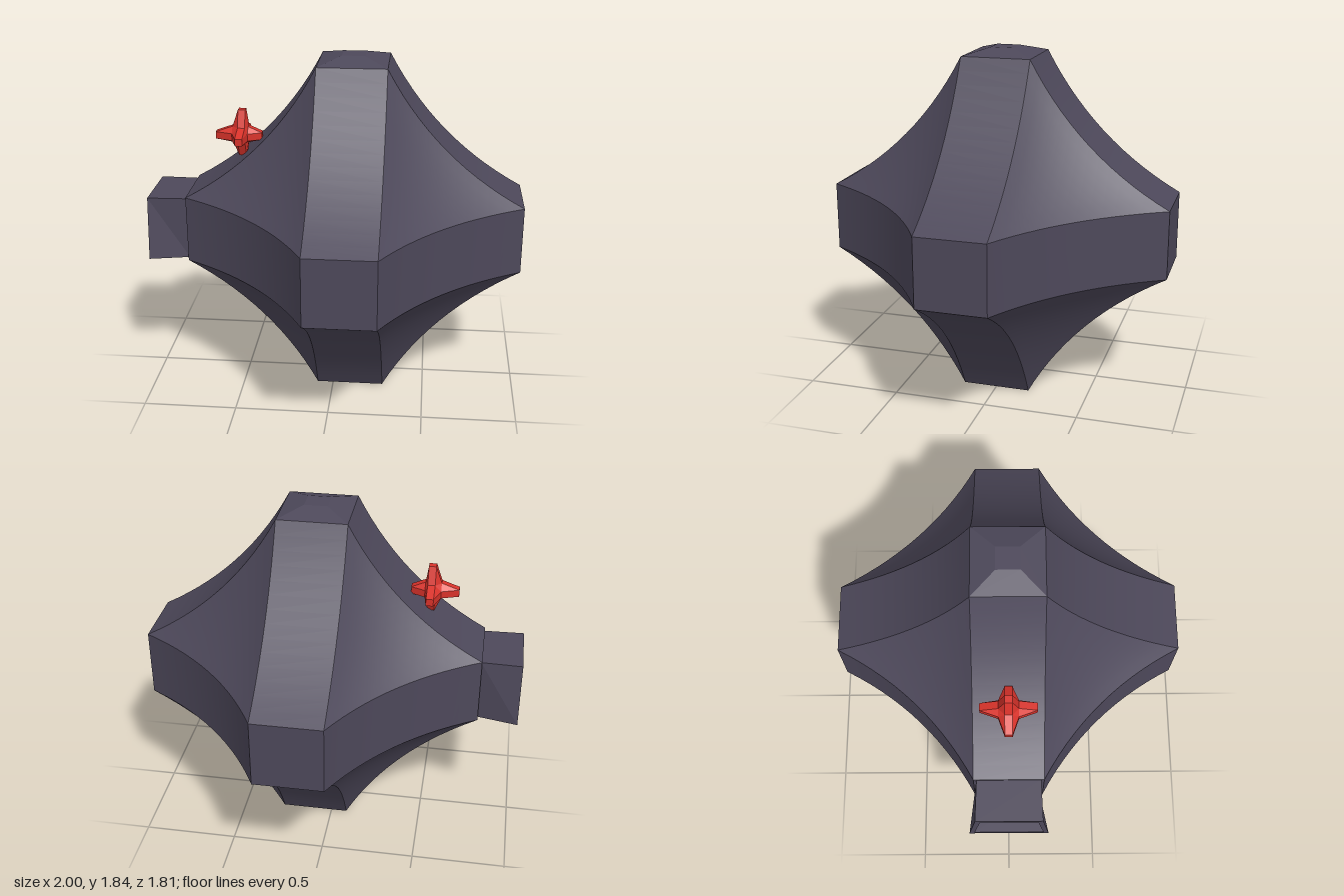
import * as THREE from 'three';
import { mergeGeometries } from 'three/addons/utils/BufferGeometryUtils.js';

const V = (x, y, z) => new THREE.Vector3(x, y, z);
const AXES = [V(1, 0, 0), V(0, 1, 0), V(0, 0, 1)];

// Geometry from points and triangles, each triangle turned to face away from the origin
function outward(points, tris) {
  const n = V(0, 0, 0), e = V(0, 0, 0), mid = V(0, 0, 0);
  const index = [];
  for (const [a, b, c] of tris) {
    const [p, q, r] = [points[a], points[b], points[c]];
    n.subVectors(q, p).cross(e.subVectors(r, p));
    mid.copy(p).add(q).add(r);
    index.push(...(n.dot(mid) >= 0 ? [a, b, c] : [a, c, b]));
  }
  const g = new THREE.BufferGeometry().setFromPoints(points);
  g.setIndex(index);
  g.computeVertexNormals();
  return g;
}

// Six square-ended arms joined by concave bands and three-sided corner panels.
// reach(axis, sign) = arm length, h = half width of arm end, sag = depth of the hollow
function hollowStar(reach, h, sag, n, material) {
  const caps = [], bands = [], panels = [];
  // Corner of an arm end: s holds the signs of the octant
  const corner = (axis, s) => {
    const p = V(s[0] * h, s[1] * h, s[2] * h);
    return p.setComponent(axis, s[axis] * reach(axis, s[axis]));
  };
  const pull = (i, j, s, amount) =>
    AXES[i].clone().multiplyScalar(s[i]).addScaledVector(AXES[j], s[j])
      .multiplyScalar(-4 * sag * amount / Math.SQRT2);

  // Square arm ends
  for (let axis = 0; axis < 3; axis++) for (const sg of [-1, 1]) {
    const pts = [[-1, -1], [1, -1], [1, 1], [-1, 1]].map(([a, b]) => {
      const s = [0, 0, 0];
      s[axis] = sg; s[(axis + 1) % 3] = a; s[(axis + 2) % 3] = b;
      return corner(axis, s);
    });
    caps.push(outward(pts, [[0, 1, 2], [0, 2, 3]]));
  }

  // Hollow bands between neighbouring arms
  for (let k = 0; k < 3; k++) for (const a of [-1, 1]) for (const b of [-1, 1]) {
    const i = (k + 1) % 3, j = (k + 2) % 3, pts = [], tris = [];
    for (let m = 0; m <= n; m++) {
      const t = m / n;
      for (const c of [-1, 1]) {
        const s = [0, 0, 0];
        s[i] = a; s[j] = b; s[k] = c;
        pts.push(corner(i, s).lerp(corner(j, s), t).add(pull(i, j, s, t * (1 - t))));
      }
      if (m < n) tris.push([2 * m, 2 * m + 1, 2 * m + 3], [2 * m, 2 * m + 3, 2 * m + 2]);
    }
    bands.push(outward(pts, tris));
  }

  // Three-sided panels, one per octant
  for (const a of [-1, 1]) for (const b of [-1, 1]) for (const c of [-1, 1]) {
    const s = [a, b, c], pts = [], tris = [];
    const id = (r, q) => r * (r + 1) / 2 + q;
    for (let r = 0; r <= n; r++) for (let q = 0; q <= r; q++) {
      const w = [1 - r / n, (r - q) / n, q / n];
      const p = V(0, 0, 0);
      for (let i = 0; i < 3; i++) {
        const j = (i + 1) % 3;
        p.addScaledVector(corner(i, s), w[i]).add(pull(i, j, s, w[i] * w[j]));
      }
      pts.push(p);
      if (r < n) tris.push([id(r, q), id(r + 1, q), id(r + 1, q + 1)]);
      if (r < n && q < r) tris.push([id(r, q), id(r + 1, q + 1), id(r, q + 1)]);
    }
    panels.push(outward(pts, tris));
  }

  const group = new THREE.Group();
  for (const [name, list] of Object.entries({ armEnds: caps, hollowBands: bands, cornerPanels: panels })) {
    const mesh = new THREE.Mesh(mergeGeometries(list), material);
    mesh.name = name;
    group.add(mesh);
  }
  return group;
}

// Skin a row of four-cornered loops and close the last one
function loft(loops) {
  const g = new THREE.BufferGeometry().setFromPoints(loops.flat());
  const index = [];
  for (let l = 0; l < loops.length - 1; l++) for (let i = 0; i < 4; i++) {
    const a = l * 4 + i, b = l * 4 + (i + 1) % 4;
    index.push(a, b, b + 4, a, b + 4, a + 4);
  }
  const e = (loops.length - 1) * 4;
  index.push(e, e + 1, e + 2, e, e + 2, e + 3);
  g.setIndex(index);
  const flat = g.toNonIndexed();
  flat.computeVertexNormals();
  return flat;
}

export function createModel() {
  const model = new THREE.Group();
  const dark = new THREE.MeshStandardMaterial({ color: 0x4d485a });
  const darkFlat = new THREE.MeshStandardMaterial({ color: 0x4d485a, flatShading: true, side: THREE.DoubleSide });
  const red = new THREE.MeshStandardMaterial({ color: 0xd8322a, flatShading: true });

  // Main body, its -x arm a little shorter
  const body = hollowStar((axis, s) => (axis === 0 && s < 0 ? 0.885 : 0.904), 0.181, 0.077, 14, dark);
  body.name = 'body';
  body.position.set(0.095, 0.905, 0);
  model.add(body);

  // Low bevelled lid on the top arm
  const lid = new THREE.Mesh(
    new THREE.CylinderGeometry(0.06 * Math.SQRT2, 0.181 * Math.SQRT2, 0.036, 4).rotateY(Math.PI / 4), darkFlat);
  lid.name = 'topLid';
  lid.position.set(0.095, 1.827, 0);
  model.add(lid);

  // Open socket on the -x arm, flaring towards its lower edge
  const loop = (x, low, high, zLow, zHigh) =>
    [V(x, low, -zLow), V(x, low, zLow), V(x, high, zHigh), V(x, high, -zHigh)];
  const socket = new THREE.Mesh(loft([
    loop(-0.785, 0.735, 1.075, 0.165, 0.165),
    loop(-1, 0.735, 1.075, 0.21, 0.172),
    loop(-1, 0.765, 1.045, 0.182, 0.147),
    loop(-0.795, 0.765, 1.045, 0.14, 0.14),
  ]), darkFlat);
  socket.name = 'sideSocket';
  model.add(socket);

  // Small red spiked star resting on the shoulder
  const star = hollowStar((axis, s) => (axis === 0 && s > 0 ? 0.105 : axis === 1 && s < 0 ? 0.11 : 0.143),
    0.019, 0.042, 2, red);
  star.name = 'redStar';
  star.position.set(-0.5, 1.39, 0);
  model.add(star);

  return model;
}
